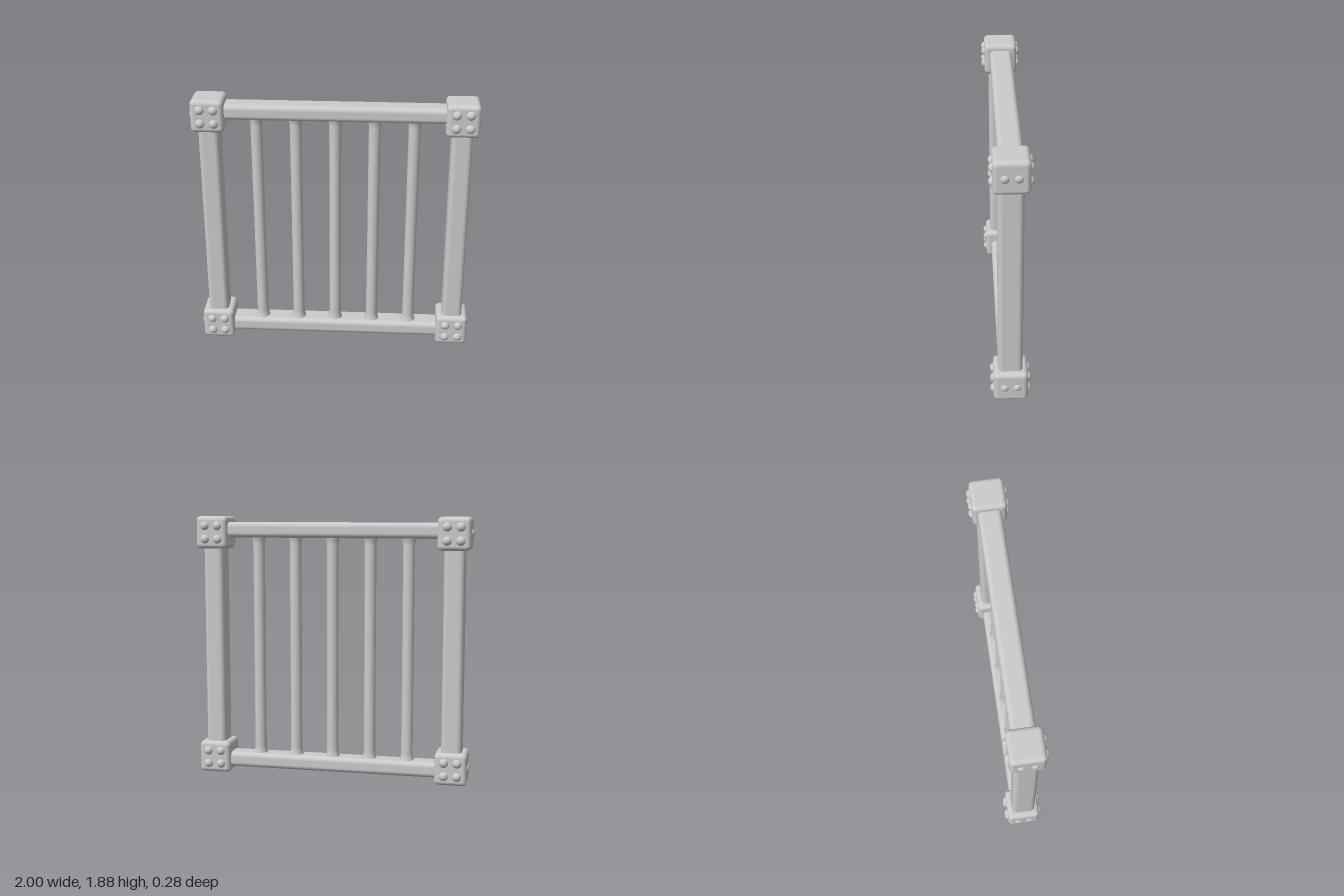
import * as THREE from 'three';
import { RoundedBoxGeometry } from 'three/addons/geometries/RoundedBoxGeometry.js';

const material = new THREE.MeshStandardMaterial({ color: 0xcccccc });

function add(parent, name, geometry, x, y, z) {
  const mesh = new THREE.Mesh(geometry, material);
  mesh.name = name;
  mesh.position.set(x, y, z);
  parent.add(mesh);
  return mesh;
}

export function createModel() {
  const group = new THREE.Group();
  group.name = 'railingPanel';

  const blockX = 0.87, lowY = 0.118, highY = 1.77;

  // Side posts
  const postGeometry = new RoundedBoxGeometry(0.145, 1.66, 0.168, 4, 0.035);
  for (const side of [-1, 1]) {
    add(group, side > 0 ? 'leftPost' : 'rightPost', postGeometry, side * blockX, 0.944, 0);
  }

  // Top and bottom rails
  const railGeometry = new RoundedBoxGeometry(1.74, 0.11, 0.162, 4, 0.035);
  add(group, 'topRail', railGeometry, 0, 1.789, -0.004);
  add(group, 'bottomRail', railGeometry, 0, 0.097, -0.004);

  // Round balusters, flared a little where they meet the rails
  const profile = [
    [0.054, 0.12], [0.054, 0.148], [0.047, 0.165], [0.042, 0.2],
    [0.041, 0.94],
    [0.042, 1.69], [0.047, 1.722], [0.054, 1.738], [0.054, 1.77],
  ].map(([r, y]) => new THREE.Vector2(r, y));
  const balusterGeometry = new THREE.LatheGeometry(profile, 20);
  for (let i = -2; i <= 2; i++) {
    add(group, 'baluster', balusterGeometry, i * 0.273, 0, -0.003);
  }

  // Corner blocks with four rivets front and back, two on the outer side
  const blockGeometry = new RoundedBoxGeometry(0.23, 0.232, 0.236, 4, 0.032);
  const rivetGeometry = new THREE.SphereGeometry(0.034, 16, 12);
  for (const side of [-1, 1]) {
    for (const y of [lowY, highY]) {
      const corner = new THREE.Group();
      corner.name = (y > 1 ? 'top' : 'bottom') + (side > 0 ? 'Left' : 'Right') + 'Corner';
      corner.position.set(side * blockX, y, -0.002);
      group.add(corner);
      add(corner, 'cornerBlock', blockGeometry, 0, 0, 0);
      for (const a of [-1, 1]) {
        for (const b of [-1, 1]) {
          for (const face of [-1, 1]) {
            add(corner, 'rivet', rivetGeometry, a * 0.047, b * 0.048, face * 0.107);
          }
        }
        add(corner, 'sideRivet', rivetGeometry, side * 0.096, 0, a * 0.043);
      }
    }
  }
  return group;
}
